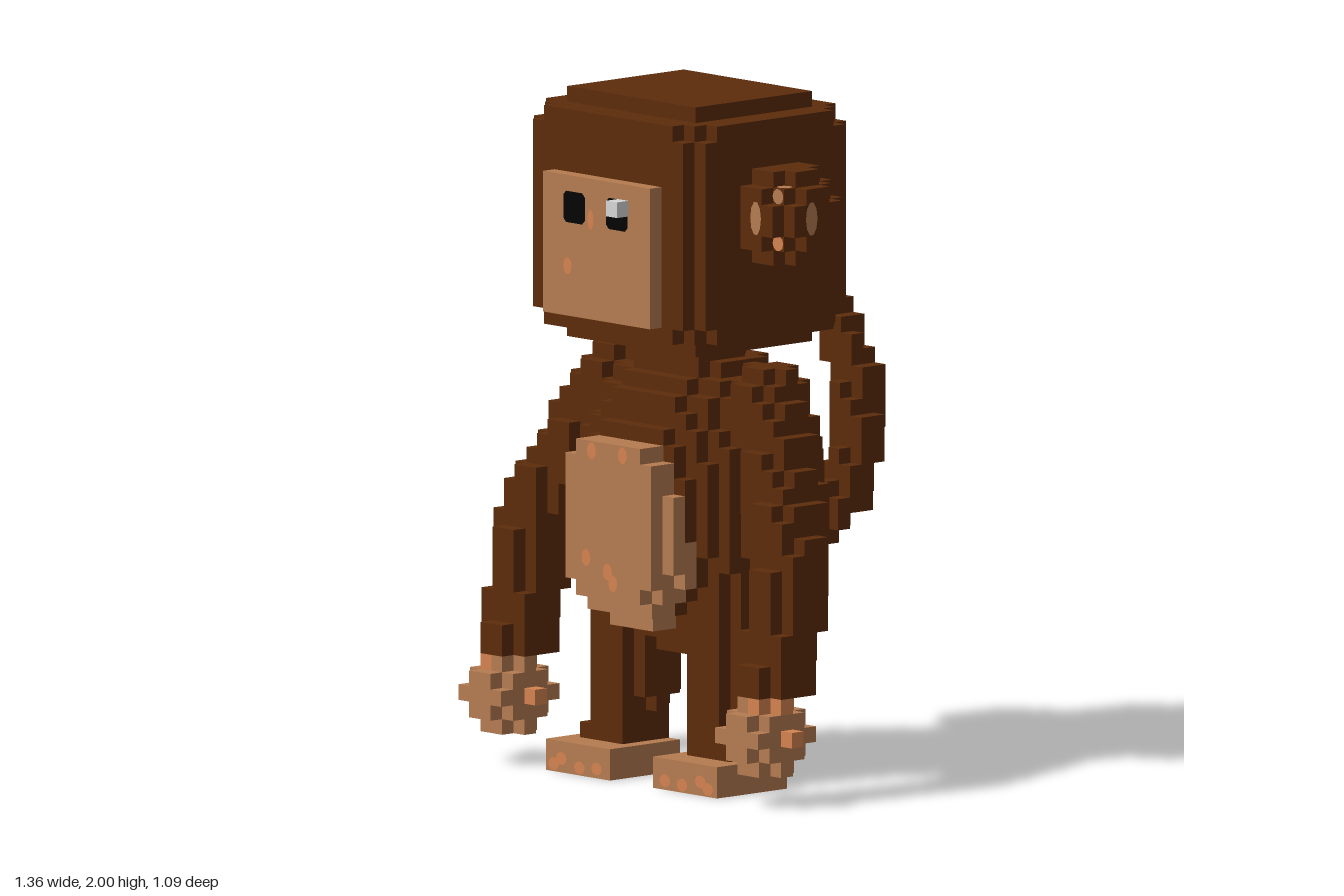
import * as THREE from 'three';

const U = 1 / 22; // voxel size

const mat = (name, color) => {
  const m = new THREE.MeshStandardMaterial({ color });
  m.name = name;
  return m;
};

// True when a point lies within a polyline's radius, which tapers from r to rEnd
function nearPath(path, r, rEnd) {
  const seg = new THREE.Line3(), q = new THREE.Vector3();
  const pts = path.map((p) => new THREE.Vector3(...p));
  return (x, y, z) => {
    const p = new THREE.Vector3(x, y, z);
    for (let i = 0; i < pts.length - 1; i++) {
      seg.set(pts[i], pts[i + 1]);
      const t = seg.closestPointToPointParameter(p, true);
      seg.at(t, q);
      const k = (i + t) / (pts.length - 1);
      if (q.distanceTo(p) <= r + (rEnd - r) * k) return true;
    }
    return false;
  };
}

// Turns a solid test into the exposed faces of its voxels (bounds in cells)
function voxelGeometry(lo, hi, test) {
  const inside = (c) => c.every((v, i) => v >= lo[i] && v < hi[i]) && test(c[0] + 0.5, c[1] + 0.5, c[2] + 0.5);
  const pos = [], nor = [];
  const face = (c, a, s) => {
    const u = (a + 1) % 3, v = (a + 2) % 3;
    const corners = [[0, 0], [1, 0], [1, 1], [0, 1]].map(([i, j]) => {
      const p = [...c];
      p[a] += s > 0 ? 1 : 0;
      p[u] += i;
      p[v] += j;
      return p.map((n) => n * U);
    });
    const n = [0, 0, 0];
    n[a] = s;
    for (const k of s > 0 ? [0, 1, 2, 0, 2, 3] : [0, 2, 1, 0, 3, 2]) {
      pos.push(...corners[k]);
      nor.push(...n);
    }
  };
  for (let x = lo[0]; x < hi[0]; x++)
    for (let y = lo[1]; y < hi[1]; y++)
      for (let z = lo[2]; z < hi[2]; z++) {
        const c = [x, y, z];
        if (!inside(c)) continue;
        for (let a = 0; a < 3; a++)
          for (const s of [-1, 1]) {
            const n = [...c];
            n[a] += s;
            if (!inside(n)) face(c, a, s);
          }
      }
  const g = new THREE.BufferGeometry();
  g.setAttribute('position', new THREE.Float32BufferAttribute(pos, 3));
  g.setAttribute('normal', new THREE.Float32BufferAttribute(nor, 3));
  return g;
}

export function createModel() {
  const model = new THREE.Group();
  model.name = 'monkey';
  const fur = mat('brown fur', 0x5d2c0b);
  const skin = mat('tan skin', 0xb57b50);
  const blush = mat('orange fleck', 0xd5824f);
  const black = mat('eye black', 0x020202);
  const shine = mat('eye highlight', 0xd6d6d6);

  const add = (name, geometry, material) => {
    const m = new THREE.Mesh(geometry, material);
    m.name = name;
    model.add(m);
    return m;
  };
  const voxels = (name, material, lo, hi, test) => add(name, voxelGeometry(lo, hi, test), material);
  // Box from corner to corner, in voxels
  const box = (name, material, lo, hi) => {
    const d = hi.map((h, i) => (h - lo[i]) * U);
    const m = add(name, new THREE.BoxGeometry(...d), material);
    m.position.set(...hi.map((h, i) => ((h + lo[i]) / 2) * U));
  };
  // Painted oval just off a surface (in voxels), facing the given direction
  const FRONT = new THREE.Vector3(0, 0, 1), UP = new THREE.Vector3(0, 1, 0);
  const spot = (name, material, x, y, z, rx, ry, dir = FRONT) => {
    const m = add(name, new THREE.CircleGeometry(1, 10), material);
    m.position.set(x, y, z).multiplyScalar(U).addScaledVector(dir, 0.003);
    m.quaternion.setFromUnitVectors(FRONT, dir);
    m.scale.set(rx * U, ry * U, 1);
  };

  // Head: block with stepped vertical edges and a raised cap above and below
  voxels('head', fur, [-8, 28, -4], [8, 44, 10], (x, y, z) => {
    const ex = 7.5 - Math.abs(x), ez = 6.5 - Math.abs(z - 3);
    if (y < 29 || y > 43) return ex >= 2 && ez >= 2;
    return ex + ez >= (y < 30 || y > 42 ? 2 : 1);
  });
  box('face', skin, [-5, 30, 10], [5, 39, 11]);
  spot('faceFleck', blush, -2.65, 33.2, 11, 0.4, 0.55);
  spot('faceFleck', blush, -0.5, 36.4, 11, 0.28, 0.65);

  // Eyes: flat squares with clipped corners, one with a highlight
  const eye = new THREE.Shape();
  const c = 0.75;
  for (const [x, y] of [[-1, -c], [-c, -1], [c, -1], [1, -c], [1, c], [c, 1], [-c, 1], [-1, c]])
    eye.currentPoint.equals(new THREE.Vector2()) ? eye.moveTo(x * U, y * U) : eye.lineTo(x * U, y * U);
  for (const s of [-1, 1])
    add('eye', new THREE.ShapeGeometry(eye), black).position.set(s * 2 * U, 37 * U, 11 * U + 0.004);
  box('eyeHighlight', shine, [2, 37, 11], [3, 38, 12]);

  // Torso: ellipsoid with flattened sides, front and back
  voxels('torso', fur, [-8, 8, -4], [8, 28, 8], (x, y, z) =>
    (x / 8.5) ** 2 + ((y - 18) / 10) ** 2 + ((z - 2) / 6.6) ** 2 <= 1);
  box('neck', fur, [-3, 26, 1], [3, 28, 5]);

  // Belly: stepped ovals
  const oval = (rx, ry, cy) => (x, y) => (x / rx) ** 2 + ((y - cy) / ry) ** 2 <= 1;
  voxels('belly', skin, [-5, 10, 6], [5, 23, 8], oval(5.1, 6.6, 16.5));
  voxels('bellyMiddle', skin, [-5, 11, 8], [5, 22, 9], oval(5.1, 6.2, 16.5));
  voxels('bellyFront', skin, [-4, 12, 9], [4, 22, 10], oval(4.6, 5.5, 17));
  for (const [x, y] of [[-1.5, 21.4], [1.4, 21.4], [-2, 14.5], [0, 13.8], [0.5, 13.1]])
    spot('bellyFleck', blush, x, y, 10, 0.42, 0.55);

  const armTest = nearPath([[7, 25, 2.4], [12, 15.6, 5.2], [12, 7, 6.8]], 2.3, 2);
  const legTest = nearPath([[4.5, 14, 3.5], [4.5, 5.5, 3.5], [5, 2, 4]], 2.3, 2.2);
  const earTest = (x, y, z) => (x - 9) ** 2 + (y - 37) ** 2 + (z - 3) ** 2 <= 9;
  const handTest = (x, y, z) => (x - 12) ** 2 + (y - 4.5) ** 2 + (z - 7.5) ** 2 <= 6.26;
  // Orange cells: the side tips and some of the back of the hand
  const handFleck = (x, y, z) =>
    Math.abs(x - 12) > 2 || (y > 6 && (Math.floor(x) + Math.floor(z)) % 2 === 0);

  for (const s of [1, -1]) {
    const side = s > 0 ? 'left' : 'right';
    const paired = (name, material, lo, hi, test) => {
      const a = s > 0 ? lo : [-hi[0], lo[1], lo[2]];
      const b = s > 0 ? hi : [-lo[0], hi[1], hi[2]];
      voxels(side + name, material, a, b, (x, y, z) => test(s * x, y, z));
    };

    // Ear with pale patches on its front, top and outer faces
    paired('Ear', fur, [8, 34, 0], [12, 40, 6], earTest);
    spot(side + 'InnerEar', skin, s * 9.5, 37.1, 6, 0.5, 1.1);
    spot(side + 'InnerEar', skin, s * 10.5, 38.5, 5, 0.5, 0.5);
    spot(side + 'InnerEar', blush, s * 10.5, 35.5, 5, 0.5, 0.5);
    spot(side + 'InnerEar', skin, s * 10.5, 39, 4.5, 0.5, 0.5, UP);
    spot(side + 'InnerEar', skin, s * 12, 37.1, 3.6, 0.5, 1.1, new THREE.Vector3(s, 0, 0));

    // Arm and hand
    paired('Arm', fur, [4, 7, 0], [14, 27, 9], armTest);
    paired('Hand', skin, [9, 2, 5], [15, 7, 10], (x, y, z) => handTest(x, y, z) && !handFleck(x, y, z));
    paired('HandFlecks', blush, [9, 2, 5], [15, 7, 10], (x, y, z) => handTest(x, y, z) && handFleck(x, y, z));

    // Leg, narrowing at the ankle, and foot
    paired('Leg', fur, [2, 2, 1], [7, 14, 7], legTest);
    paired('Foot', skin, [2, 0, 2], [8, 2, 8], () => true);
    for (const [x, y] of [[3.2, 0.6], [4.8, 0.5], [6.5, 0.9], [7.2, 0.5]])
      spot(side + 'FootFleck', blush, s * x, y, 8, 0.5, 0.42);
  }

  // Tail: rises behind and hooks towards the right
  voxels('tail', fur, [-6, 9, -12], [3, 32, -2],
    nearPath([[0.5, 13, -3], [0.8, 14.5, -6], [1.5, 17.3, -9], [1.6, 20.5, -10],
      [0.6, 24, -10.8], [-1.3, 27.5, -10.8], [-3.5, 30, -9.8], [-5, 31, -9]], 1.65, 1));

  return model;
}
